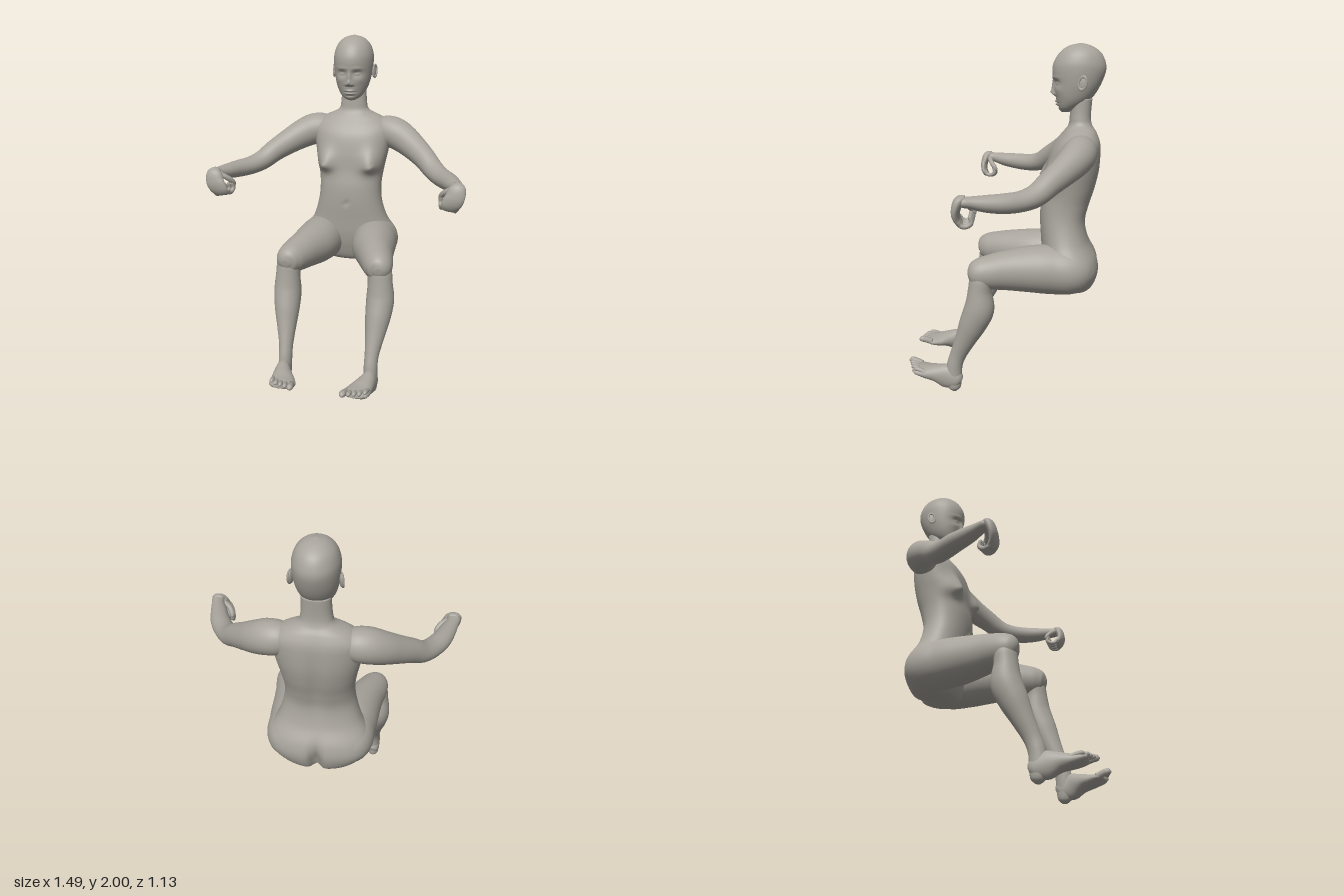
import * as THREE from 'three';

const skin = new THREE.MeshStandardMaterial({ color: 0xa8a49c });
skin.name = 'warm grey';

// Smoothly resample rows of numbers (Catmull-Rom on every column)
function resample(rows, steps) {
  const out = [], last = rows.length - 1;
  for (let i = 0; i <= steps; i++) {
    const f = (i / steps) * last, k = Math.min(Math.floor(f), last - 1), t = f - k;
    const [p, q, r, s] = [-1, 0, 1, 2].map(d => rows[Math.min(Math.max(k + d, 0), last)]);
    out.push(q.map((_, c) => {
      const m0 = (r[c] - p[c]) / 2, m1 = (s[c] - q[c]) / 2, t2 = t * t, t3 = t2 * t;
      return (2 * t3 - 3 * t2 + 1) * q[c] + (t3 - 2 * t2 + t) * m0 + (3 * t2 - 2 * t3) * r[c] + (t3 - t2) * m1;
    }));
  }
  return out;
}

// Closed skin over a list of rings, with a fan at each end
function skinRings(rings) {
  const n = rings[0].length, pos = [], index = [];
  rings.forEach(r => r.forEach(p => pos.push(p.x, p.y, p.z)));
  for (let i = 0; i < rings.length - 1; i++) {
    for (let j = 0; j < n; j++) {
      const a = i * n + j, b = i * n + (j + 1) % n;
      index.push(a, b, b + n, a, b + n, a + n);
    }
  }
  [0, rings.length - 1].forEach((i, end) => {
    const c = new THREE.Vector3();
    rings[i].forEach(p => c.addScaledVector(p, 1 / n));
    const ci = pos.length / 3;
    pos.push(c.x, c.y, c.z);
    for (let j = 0; j < n; j++) {
      const a = i * n + j, b = i * n + (j + 1) % n;
      if (end) index.push(a, b, ci); else index.push(b, a, ci);
    }
  });
  const g = new THREE.BufferGeometry();
  g.setAttribute('position', new THREE.Float32BufferAttribute(pos, 3));
  g.setIndex(index);
  g.computeVertexNormals();
  return g;
}

// Upright body: rows of [y, half width, front z, back z]; shape(point) adds relief
function upright(rows, steps, sides, power, shape) {
  const bend = v => Math.sign(v) * Math.pow(Math.abs(v), 2 / power);
  return skinRings(resample(rows, steps).map(([y, w, zf, zb]) => {
    const mid = (zf + zb) / 2, ring = [];
    for (let j = 0; j < sides; j++) {
      const t = (j / sides) * Math.PI * 2;
      const p = new THREE.Vector3(w * bend(Math.sin(t)), y, mid + (zf - zb) / 2 * bend(Math.cos(t)));
      shape(p, Math.cos(t));
      ring.push(p);
    }
    return ring;
  }));
}

// Limb: rows of [x, y, z, radius along ref, radius across]
function limb(rows, ref, steps = 48, sides = 28) {
  const s = resample(rows, steps), at = i => new THREE.Vector3(...s[i].slice(0, 3));
  return skinRings(s.map((r, i) => {
    const T = at(Math.min(i + 1, steps)).sub(at(Math.max(i - 1, 0))).normalize();
    const U = ref.clone().addScaledVector(T, -ref.dot(T)).normalize();
    const V = T.clone().cross(U), ring = [];
    for (let j = 0; j < sides; j++) {
      const t = (j / sides) * Math.PI * 2;
      ring.push(at(i).addScaledVector(U, r[3] * Math.cos(t)).addScaledVector(V, r[4] * Math.sin(t)));
    }
    return ring;
  }));
}

// Thin digit through points, with rounded ends
function digit(points, r) {
  const n = points.length - 1;
  const rows = points.map((p, i) => [...p, i === n ? r * 0.8 : r, i === n ? r * 0.8 : r]);
  const tip = new THREE.Vector3(...points[n]);
  const d = tip.clone().sub(new THREE.Vector3(...points[n - 1])).normalize();
  rows.push([...tip.addScaledVector(d, r * 0.6).toArray(), r * 0.15, r * 0.15]);
  return limb(rows, new THREE.Vector3(1, 0.1, 0.05), 18, 12);
}

function mirrored(g) {
  const m = g.clone().scale(-1, 1, 1), ix = m.index.array;
  for (let i = 0; i < ix.length; i += 3) [ix[i], ix[i + 1]] = [ix[i + 1], ix[i]];
  m.computeVertexNormals();
  return m;
}

const hill = (v, c, s) => Math.exp(-(((v - c) / s) ** 2));

export function createModel() {
  const model = new THREE.Group();
  model.name = 'seatedFigure';
  const add = (name, g) => {
    const m = new THREE.Mesh(g, skin);
    m.name = name;
    model.add(m);
  };
  const pair = (name, g) => { add(name + 'Left', g); add(name + 'Right', mirrored(g)); };
  const X = new THREE.Vector3(1, 0, 0), Y = new THREE.Vector3(0, 1, 0);

  // Torso and neck, with breasts, navel, spine groove and buttock cleft
  add('torso', upright([
    [0.58, 0.08, -0.37, -0.46], [0.61, 0.2, -0.29, -0.525], [0.7, 0.285, -0.25, -0.56],
    [0.79, 0.283, -0.23, -0.55], [0.89, 0.232, -0.222, -0.5], [1.0, 0.2, -0.215, -0.48],
    [1.1, 0.193, -0.218, -0.5], [1.2, 0.205, -0.235, -0.53], [1.3, 0.225, -0.245, -0.55],
    [1.4, 0.24, -0.268, -0.555], [1.46, 0.235, -0.3, -0.55], [1.51, 0.18, -0.34, -0.53],
    [1.55, 0.098, -0.368, -0.505], [1.6, 0.08, -0.375, -0.495], [1.7, 0.075, -0.38, -0.5],
  ], 110, 80, 2.25, (p, f) => {
    const ax = Math.abs(p.x);
    if (f > 0) {
      p.z += 0.058 * hill(ax, 0.145, 0.058) * hill(p.y, 1.235, p.y < 1.235 ? 0.045 : 0.085) * Math.min(1, f * 3);
      p.z += 0.012 * hill(ax, 0.15, 0.014) * hill(p.y, 1.23, 0.014);
      p.z -= 0.01 * hill(p.x, 0, 0.012) * hill(p.y, 1.0, 0.016);
    } else {
      p.z += 0.06 * hill(p.x, 0, 0.028) * hill(p.y, 0.66, 0.11);
      p.z += 0.014 * hill(p.x, 0, 0.04) * hill(p.y, 1.2, 0.25);
    }
  }));

  // Head: sockets, lids, brow, nose, lips and chin as soft relief
  // each row: x, y, spread x, spread y, height
  const relief = [
    [0.045, 1.785, 0.026, 0.018, -0.017], [0.046, 1.781, 0.017, 0.01, 0.012],
    [0.045, 1.776, 0.016, 0.003, -0.005], [0.045, 1.815, 0.035, 0.01, 0.004],
    [0, 1.765, 0.011, 0.03, 0.013], [0, 1.732, 0.014, 0.017, 0.02],
    [0.015, 1.722, 0.009, 0.009, 0.011], [0, 1.708, 0.03, 0.006, -0.004],
    [0, 1.682, 0.024, 0.007, 0.01], [0, 1.674, 0.028, 0.003, -0.007],
    [0, 1.665, 0.021, 0.007, 0.011], [0, 1.652, 0.025, 0.006, -0.005],
    [0.065, 1.745, 0.025, 0.022, 0.004],
  ];
  add('head', upright([
    [1.622, 0.02, -0.33, -0.37], [1.632, 0.042, -0.318, -0.4], [1.65, 0.063, -0.308, -0.43],
    [1.68, 0.084, -0.3, -0.475], [1.72, 0.1, -0.29, -0.512], [1.78, 0.113, -0.282, -0.546],
    [1.85, 0.119, -0.272, -0.57], [1.9, 0.115, -0.281, -0.566], [1.95, 0.095, -0.312, -0.54],
    [1.985, 0.057, -0.36, -0.49], [2.0, 0.008, -0.42, -0.436],
  ], 120, 96, 2.05, (p, f) => {
    if (f <= 0) return;
    for (const [x, y, sx, sy, h] of relief) p.z += h * hill(Math.abs(p.x), x, sx) * hill(p.y, y, sy) * Math.min(1, f * 2);
  }));

  // Ears: flat shell with a raised rim
  const place = g => g.rotateY(-0.35).rotateX(-0.2).translate(0.121, 1.788, -0.44);
  pair('ear', place(new THREE.SphereGeometry(1, 20, 14).scale(0.009, 0.038, 0.022)));
  pair('earRim', place(new THREE.TorusGeometry(0.022, 0.0055, 8, 28).rotateY(Math.PI / 2).scale(1, 1.6, 1).translate(0.006, 0, 0)));

  // Arms from shoulder to wrist
  pair('arm', limb([
    [0.12, 1.42, -0.44, 0.05, 0.05], [0.18, 1.425, -0.437, 0.088, 0.085], [0.25, 1.418, -0.425, 0.097, 0.095],
    [0.32, 1.39, -0.395, 0.091, 0.088], [0.4, 1.345, -0.335, 0.078, 0.075], [0.47, 1.3, -0.27, 0.068, 0.066],
    [0.53, 1.252, -0.205, 0.06, 0.062], [0.58, 1.232, -0.135, 0.054, 0.06], [0.63, 1.23, -0.05, 0.051, 0.057],
    [0.665, 1.236, 0.04, 0.043, 0.049], [0.69, 1.246, 0.11, 0.031, 0.038], [0.7, 1.25, 0.15, 0.026, 0.036],
    [0.704, 1.25, 0.17, 0.01, 0.012],
  ], Y, 72));

  // Hands bent down at the wrist, with curled fingers
  pair('palm', limb([
    [0.692, 1.272, 0.135, 0.022, 0.014], [0.696, 1.255, 0.165, 0.045, 0.026], [0.688, 1.21, 0.183, 0.053, 0.023],
    [0.67, 1.17, 0.183, 0.053, 0.02], [0.657, 1.14, 0.17, 0.048, 0.017], [0.652, 1.13, 0.16, 0.03, 0.008],
  ], X));
  for (let i = 0; i < 4; i++) {
    const k = (i - 1.5) * 0.025, x = 0.654 + k, y = -k * 0.2;
    pair('finger' + (i + 1), digit([
      [x + 0.004, 1.155 + y, 0.175], [x, 1.133 + y, 0.158], [x - 0.006, 1.131 + y, 0.13],
      [x - 0.01, 1.15 + y, 0.108], [x - 0.008, 1.18 + y, 0.115],
    ], 0.0125));
  }
  pair('thumb', digit([[0.67, 1.245, 0.145], [0.637, 1.225, 0.135], [0.612, 1.2, 0.115], [0.605, 1.175, 0.1]], 0.0155));

  // Thighs, from inside the hips to the rounded knee
  pair('thigh', limb([
    [0.1, 0.72, -0.47, 0.09, 0.1], [0.15, 0.733, -0.4, 0.145, 0.138], [0.17, 0.742, -0.28, 0.14, 0.143],
    [0.186, 0.746, -0.17, 0.133, 0.135], [0.222, 0.746, -0.03, 0.108, 0.115], [0.25, 0.742, 0.06, 0.095, 0.1],
    [0.268, 0.738, 0.12, 0.082, 0.087], [0.275, 0.733, 0.162, 0.058, 0.062], [0.276, 0.73, 0.18, 0.02, 0.02],
  ], X, 56, 36));

  // Lower legs, down to the heel
  pair('lowerLeg', limb([
    [0.275, 0.77, 0.1, 0.03, 0.03], [0.275, 0.72, 0.107, 0.068, 0.062], [0.28, 0.64, 0.115, 0.073, 0.068],
    [0.283, 0.535, 0.118, 0.082, 0.086], [0.278, 0.44, 0.155, 0.075, 0.08], [0.27, 0.34, 0.2, 0.058, 0.062],
    [0.262, 0.24, 0.245, 0.042, 0.048], [0.26, 0.17, 0.268, 0.04, 0.046], [0.262, 0.09, 0.275, 0.039, 0.047],
    [0.264, 0.03, 0.272, 0.034, 0.038], [0.265, 0.006, 0.27, 0.014, 0.014],
  ], X, 72));

  // Feet tilted toes-up
  pair('foot', limb([
    [0.265, 0.065, 0.232, 0.018, 0.025], [0.265, 0.075, 0.255, 0.038, 0.055], [0.26, 0.095, 0.32, 0.045, 0.072],
    [0.245, 0.106, 0.38, 0.058, 0.052], [0.226, 0.109, 0.44, 0.072, 0.036], [0.212, 0.116, 0.49, 0.075, 0.025],
    [0.208, 0.122, 0.516, 0.058, 0.014],
  ], X));
  for (let i = 0; i < 5; i++) {
    const x = 0.156 + i * 0.029 - (i ? 0 : 0.004), z = 0.55 - i * 0.009 - (i === 4 ? 0.01 : 0);
    pair('toe' + (i + 1), digit([
      [x + 0.008, 0.118, z - 0.07], [x + 0.003, 0.132, z - 0.035], [x, 0.138, z - 0.012], [x, 0.137, z],
    ], i ? 0.0135 : 0.019));
  }

  return model;
}
